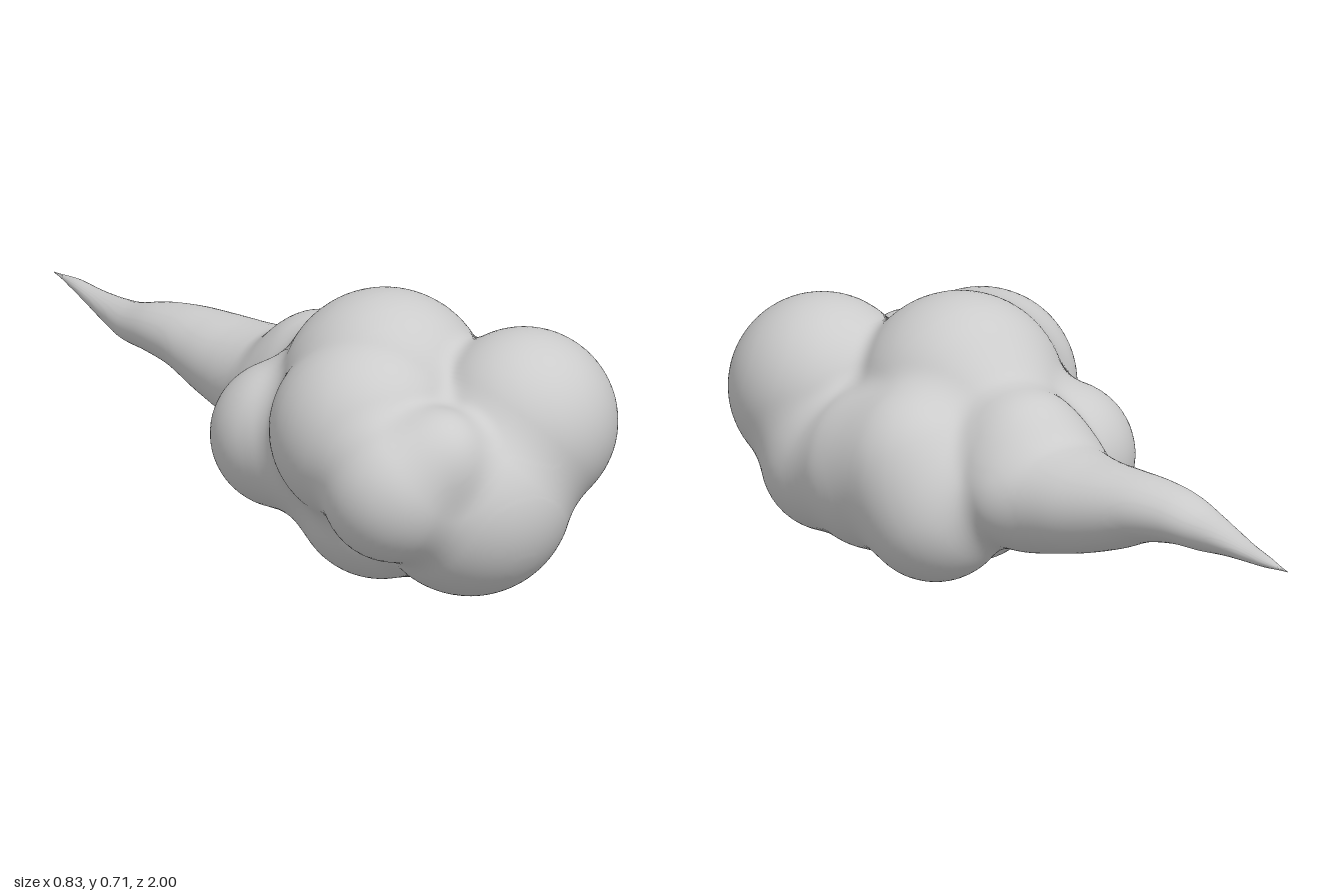
import * as THREE from 'three';

// puffs that swell out of the cloud: x, y, z, radius
const PUFFS = [
  [0.165, 0.428, 0.747, 0.234], // front upper left
  [0.0, 0.27, 0.745, 0.254],    // front lower middle
  [-0.02, 0.45, 0.42, 0.262],   // crown
  [0.0, 0.4, 0.28, 0.205],
  [-0.18, 0.422, 0.55, 0.238],  // right shoulder
  [-0.237, 0.335, 0.75, 0.184], // right cheek
  [-0.16, 0.42, 0.825, 0.122],  // small front puff
  [-0.075, 0.22, 0.48, 0.219],  // belly
  [0.02, 0.22, 0.62, 0.195],
  [0.1, 0.21, 0.38, 0.16],
  [0.195, 0.34, 0.31, 0.203],   // left flank
  [0.205, 0.3, 0.45, 0.207],
  [0.225, 0.28, 0.62, 0.18],
  [0.19, 0.25, 0.24, 0.19],     // rear lower left
  [-0.18, 0.32, 0.22, 0.186],   // rear right
  [-0.15, 0.32, 0.36, 0.188],
  [0.03, 0.39, 0.09, 0.167],    // rear top
];

// tail sections: z, centre x, centre y, radius x, radius y
const TAIL = [
  [-1.0, 0.02, 0.361, 0.001, 0.001],
  [-0.9, 0.012, 0.36, 0.018, 0.013],
  [-0.8, -0.004, 0.356, 0.031, 0.021],
  [-0.7, -0.02, 0.354, 0.045, 0.033],
  [-0.6, -0.03, 0.354, 0.061, 0.049],
  [-0.5, -0.023, 0.365, 0.08, 0.065],
  [-0.4, -0.007, 0.363, 0.099, 0.081],
  [-0.3, 0.01, 0.345, 0.119, 0.103],
  [-0.2, 0.025, 0.33, 0.14, 0.12],
  [-0.1, 0.033, 0.323, 0.163, 0.138],
  [0.0, 0.035, 0.325, 0.2, 0.16],
  [0.1, 0.035, 0.33, 0.2, 0.165],
  [0.2, 0.03, 0.34, 0.18, 0.14],
  [0.3, 0.01, 0.35, 0.15, 0.12],
  [0.4, 0.0, 0.36, 0.1, 0.1],
];

// smoothly interpolated tail section at z
function tailAt(z) {
  const last = TAIL.length - 1;
  const f = THREE.MathUtils.clamp((z + 1) * 10, 0, last);
  const i = Math.min(Math.floor(f), last - 1), t = f - i;
  const a = TAIL[Math.max(i - 1, 0)], b = TAIL[i], c = TAIL[i + 1], d = TAIL[Math.min(i + 2, last)];
  const [, x, y, rx, ry] = b.map((v, n) => v + 0.5 * t * (c[n] - a[n]
    + t * (2 * a[n] - 5 * v + 4 * c[n] - d[n] + t * (3 * (v - c[n]) + d[n] - a[n]))));
  return { x, y, rx, ry };
}

// smooth union of the tail and all puffs
function distance(p) {
  const k = 0.05;
  const s = tailAt(p.z);
  let d = (Math.hypot((p.x - s.x) / s.rx, (p.y - s.y) / s.ry) - 1) * Math.min(s.rx, s.ry)
    + Math.max(p.z - 0.4, 0);
  for (const [x, y, z, r] of PUFFS) {
    const e = Math.hypot(p.x - x, p.y - y, p.z - z) - r;
    const h = Math.max(k - Math.abs(d - e), 0) / k;
    d = Math.min(d, e) - h * h * k * 0.25;
  }
  return d;
}

// one skin: rings travel up the tail and through the body, then fan round the front
function cloudGeometry() {
  const straight = 200, fan = 80, sides = 128, bend = 0.6;
  const verts = [], index = [];
  const centre = new THREE.Vector3(), dir = new THREE.Vector3(), p = new THREE.Vector3();
  for (let i = 0; i <= straight + fan; i++) {
    const z = -1 + (1 + bend) * Math.min(i / straight, 1);
    const tilt = Math.max(i - straight, 0) / fan * Math.PI / 2;
    const s = tailAt(z);
    centre.set(s.x, s.y, z);
    for (let j = 0; j < sides; j++) {
      const a = (j / sides) * Math.PI * 2;
      dir.set(Math.cos(a) * Math.cos(tilt), Math.sin(a) * Math.cos(tilt), Math.sin(tilt));
      // march inwards until the surface is met
      let t = 0.7;
      for (let n = 0; n < 70; n++) {
        p.copy(centre).addScaledVector(dir, t);
        const d = distance(p);
        if (d < 0.0003) break;
        t = Math.max(t - d, 0);
      }
      p.copy(centre).addScaledVector(dir, t);
      verts.push(p.x, p.y, p.z);
      if (i === straight + fan) continue;
      const a0 = i * sides + j, a1 = i * sides + (j + 1) % sides;
      index.push(a0, a1, a0 + sides, a1, a1 + sides, a0 + sides);
    }
  }
  const geo = new THREE.BufferGeometry();
  geo.setAttribute('position', new THREE.Float32BufferAttribute(verts, 3));
  geo.setIndex(index);
  geo.computeVertexNormals();
  return geo;
}

export function createModel() {
  const group = new THREE.Group();
  const cloud = new THREE.Mesh(cloudGeometry(), new THREE.MeshStandardMaterial({ color: 0xcccccc }));
  cloud.name = 'cloudWithTail';
  group.add(cloud);
  return group;
}
